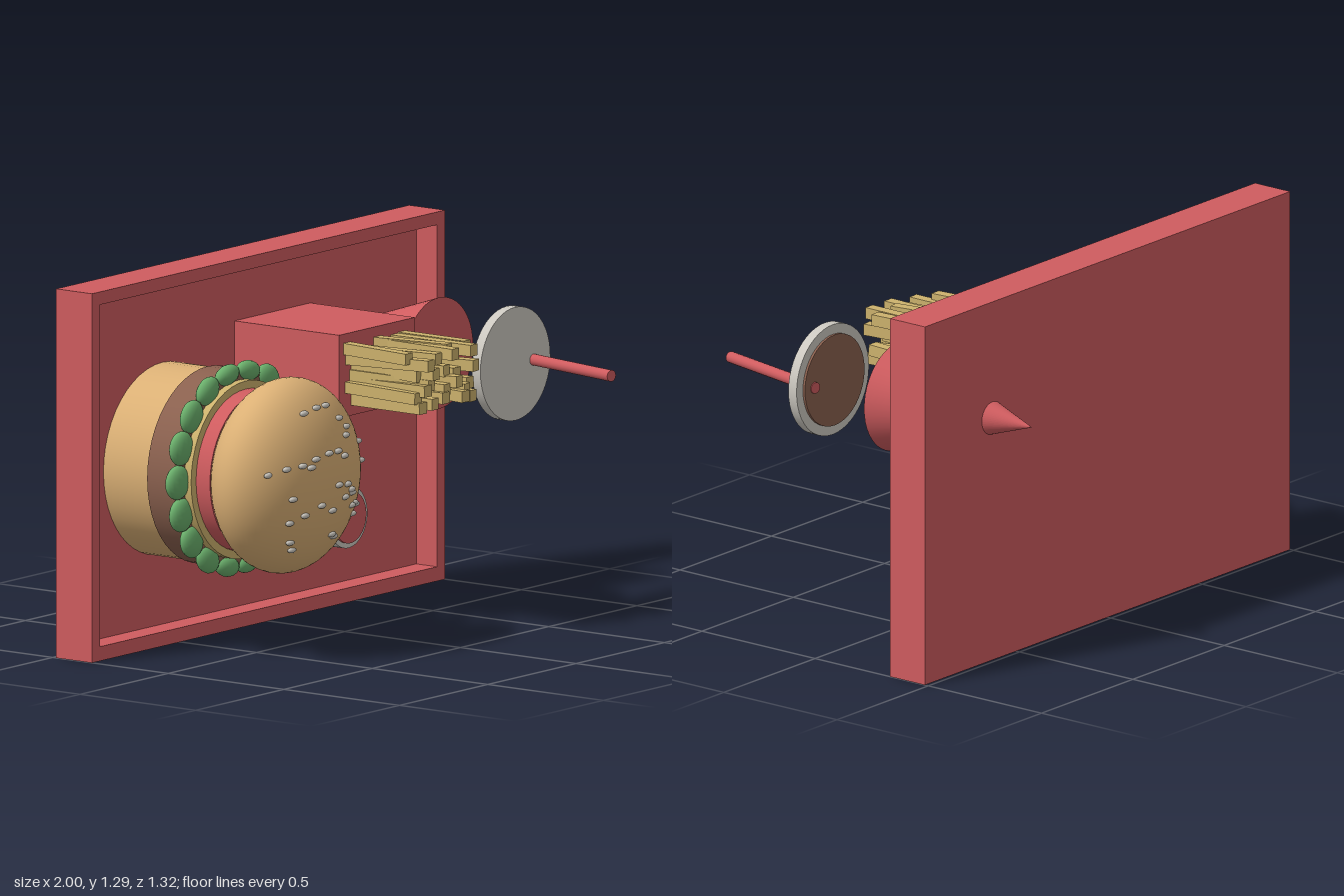
import * as THREE from 'three';

const mat = (name, color) => {
  const m = new THREE.MeshStandardMaterial({ color });
  m.name = name;
  return m;
};

export function createModel() {
  const red = mat('red', 0xcf5c5f);
  const bunTan = mat('bun tan', 0xdbb075);
  const fryYellow = mat('fry yellow', 0xcdb26d);
  const green = mat('lettuce green', 0x6bb06c);
  const brown = mat('patty brown', 0x8b614f);
  const white = mat('off white', 0xcdc9c1);

  const root = new THREE.Group();
  root.name = 'mealSign';
  const group = (name) => {
    const g = new THREE.Group();
    g.name = name;
    root.add(g);
    return g;
  };
  const add = (parent, name, geometry, material, x = 0, y = 0, z = 0) => {
    const m = new THREE.Mesh(geometry, material);
    m.name = name;
    m.position.set(x, y, z);
    parent.add(m);
    return m;
  };
  // box given by its limits
  const box = (parent, name, material, x0, x1, y0, y1, z0, z1) =>
    add(parent, name, new THREE.BoxGeometry(x1 - x0, y1 - y0, z1 - z0), material,
      (x0 + x1) / 2, (y0 + y1) / 2, (z0 + z1) / 2);
  // round slab whose axis runs along z
  const disc = (parent, name, material, x, y, r, z0, z1) =>
    add(parent, name, new THREE.CylinderGeometry(r, r, z1 - z0, 48).rotateX(Math.PI / 2),
      material, x, y, (z0 + z1) / 2);

  // upright tray with a raised rim
  const tray = group('tray');
  box(tray, 'trayBack', red, -1, 1, 0, 1.29, -0.485, -0.42);
  const rect = (P, x, y0, y1) => {
    const p = new P();
    p.moveTo(-x, y0).lineTo(x, y0).lineTo(x, y1).lineTo(-x, y1).closePath();
    return p;
  };
  const rim = rect(THREE.Shape, 1, 0, 1.29);
  rim.holes.push(rect(THREE.Path, 0.955, 0.05, 1.245));
  add(tray, 'trayRim', new THREE.ExtrudeGeometry(rim, { depth: 0.09, bevelEnabled: false }), red, 0, 0, -0.42);

  // burger stacked along z
  const burger = group('burger');
  burger.position.set(-0.482, 0.63, 0);
  disc(burger, 'bottomBun', bunTan, 0, 0, 0.335, -0.42, -0.225);
  disc(burger, 'patty', brown, 0, 0, 0.343, -0.225, -0.09);
  disc(burger, 'cheese', fryYellow, 0, 0, 0.31, -0.09, -0.06);
  disc(burger, 'tomato', red, 0, 0, 0.282, -0.06, 0);
  const bun = new THREE.SphereGeometry(1, 48, 24, 0, Math.PI * 2, 0, Math.acos(-0.575));
  bun.rotateX(Math.PI / 2).scale(0.34, 0.34, 0.195);
  add(burger, 'topBun', bun, bunTan, 0, 0, 0.113);
  for (let i = 0; i < 18; i++) {
    const a = (i / 18) * Math.PI * 2;
    const leaf = add(burger, 'lettuceLeaf', new THREE.SphereGeometry(1, 16, 12), green,
      Math.cos(a) * 0.34, Math.sin(a) * 0.34, -0.096);
    leaf.scale.set(0.03 + 0.03 * Math.abs(Math.cos(a)), 0.06, 0.028);
    leaf.rotation.z = a;
  }

  // sesame seeds laid on the bun, x and y from its centre
  const seeds = [
    -0.07, 0.24, 0, 0.25, 0.055, 0.25, 0.11, 0.2, 0.145, 0.166, 0.125, 0.14, 0.247, 0.097,
    0.263, 0.028, -0.26, 0.05, -0.197, 0.065, -0.133, 0.07, -0.095, 0.06, -0.07, 0.086,
    0, 0.097, 0.055, 0.097, 0.092, 0.075, 0.108, -0.026, 0.15, -0.063, 0.19, -0.106,
    0.22, -0.117, 0.162, -0.111, 0.097, -0.07, 0.022, -0.106, -0.042, -0.08, -0.117, -0.106,
    -0.175, -0.127, -0.175, -0.042, 0.049, -0.02, 0.204, -0.149, -0.149, -0.2, -0.128, -0.23,
    0.055, -0.197, 0.075, -0.208, 0.14, -0.05];
  for (let i = 0; i < seeds.length; i += 2) {
    const [x, y] = [seeds[i], seeds[i + 1]];
    const z = 0.113 + 0.195 * Math.sqrt(1 - (x * x + y * y) / 0.1156);
    add(burger, 'sesameSeed', new THREE.SphereGeometry(1, 10, 8), white, x, y, z).scale.set(0.022, 0.01, 0.01);
  }

  // fries box with two bunches of fries
  const fries = group('fries');
  box(fries, 'friesBox', red, -0.075, 0.355, 0.76, 1.05, -0.42, 0.032);
  const tips = [
    -0.03, 0.99, 0, 0.97, 0.01, 0.925, 0.035, 0.935, -0.025, 0.855, 0, 0.88, 0.03, 0.895,
    -0.01, 0.82, 0.035, 0.83, 0.1, 0.975, 0.14, 0.99, 0.185, 0.995, 0.24, 0.99, 0.29, 0.99,
    0.255, 0.935, 0.205, 0.91, 0.17, 0.89, 0.13, 0.865, 0.11, 0.84, 0.225, 0.855, 0.265, 0.87,
    0.245, 0.83, 0.155, 0.925, 0.195, 0.835];
  for (let i = 0; i < tips.length; i += 2) {
    const k = i / 2;
    const lean = k < 9 ? 0.03 * Math.sin(k * 2.4) : 0.02 + 0.035 * Math.sin(k * 2.4);
    const tip = new THREE.Vector3(tips[i], tips[i + 1], 0.3 + 0.075 * Math.abs(Math.sin(k * 1.7)));
    const base = new THREE.Vector3(tip.x - lean, tip.y + 0.01 * Math.cos(k * 3), -0.02);
    const fry = add(fries, 'fry', new THREE.BoxGeometry(0.04, 0.04, tip.distanceTo(base)), fryYellow);
    fry.position.copy(tip).add(base).multiplyScalar(0.5);
    fry.lookAt(tip);
  }

  // pointed cup, its point passing through the tray, with separate lid and straw
  const drink = group('drink');
  add(drink, 'cup', new THREE.ConeGeometry(0.195, 0.585, 48).rotateX(-Math.PI / 2), red, 0.63, 0.872, -0.3675);
  disc(drink, 'lid', white, 0.632, 0.872, 0.198, 0.219, 0.255);
  disc(drink, 'drinkSurface', brown, 0.632, 0.872, 0.163, 0.21, 0.22);
  const straw = new THREE.LineCurve3(new THREE.Vector3(0.745, 0.872, 0.203), new THREE.Vector3(0.65, 0.872, 0.657));
  const strawLength = straw.getLength();
  const strawMesh = add(drink, 'straw', new THREE.CylinderGeometry(0.02, 0.02, strawLength, 16).rotateX(Math.PI / 2), red);
  strawMesh.position.copy(straw.getPoint(0.5));
  strawMesh.lookAt(straw.v2);

  // sauce pot with a few loose fries beside it
  const sauce = group('saucePot');
  disc(sauce, 'pot', white, 0.387, 0.312, 0.108, -0.42, -0.28);
  disc(sauce, 'sauce', red, 0.387, 0.312, 0.09, -0.3, -0.271);
  for (const [x0, x1, y0, y1] of [
    [0.065, 0.3, 0.235, 0.275], [0.11, 0.3, 0.265, 0.322],
    [0.24, 0.34, 0.24, 0.353], [0.27, 0.46, 0.205, 0.245]]) {
    box(sauce, 'looseFry', fryYellow, x0, x1, y0, y1, -0.42, -0.35 - x0 * 0.02);
  }

  return root;
}
